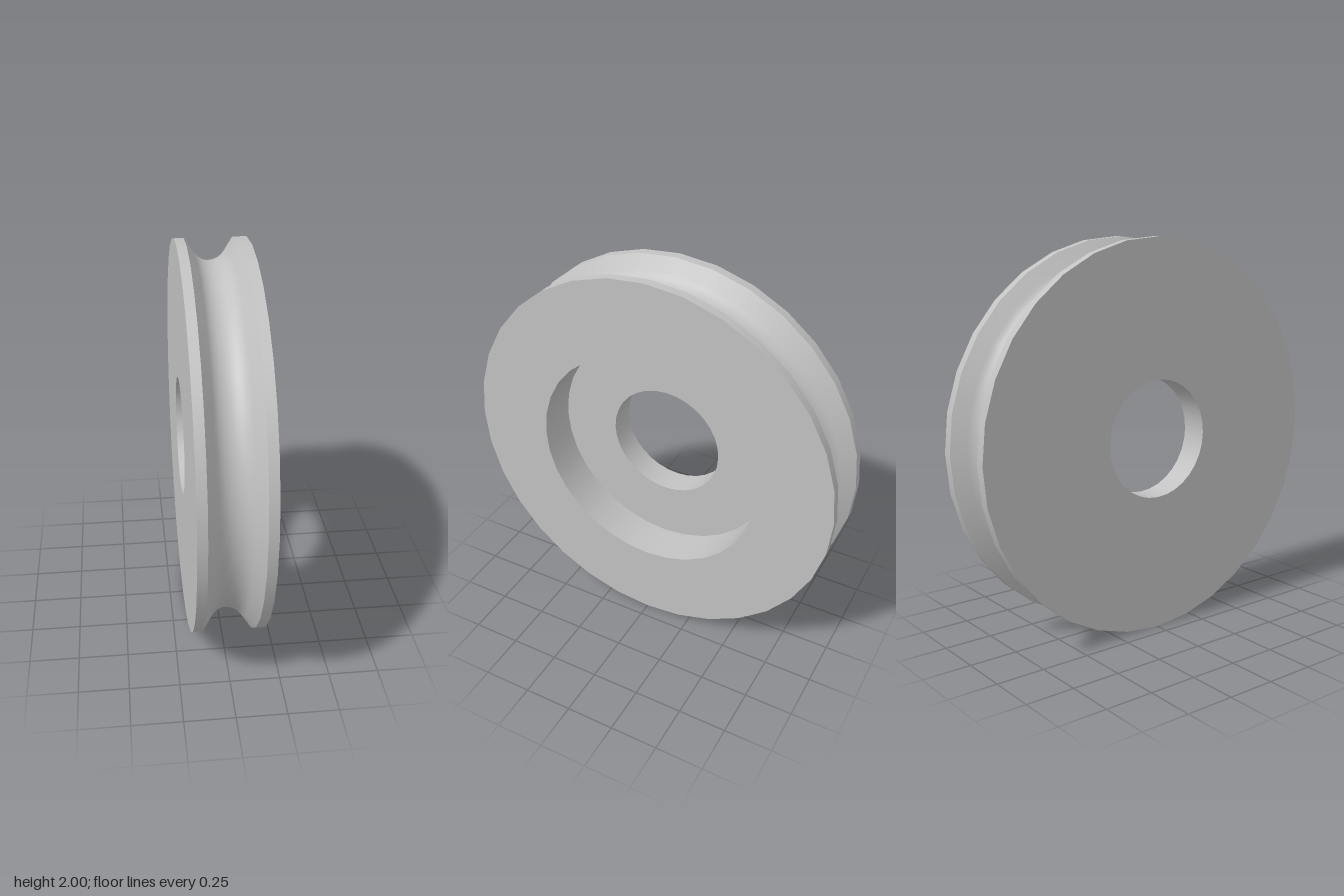
import * as THREE from 'three';

const SEGMENTS = 32;
const HALF = 0.178;    // half thickness
const LIP = 0.13;      // inner edge of each flange
const OUTER = 1;
const RECESS = 0.6;    // recess radius
const BORE = 0.302;    // centre hole radius
const FLOOR = -0.036;  // recess floor along the axle

// Groove: straight flanks running tangentially into a round bottom
function grooveProfile() {
  const points = [[OUTER, -LIP]];
  const radius = 0.101, bottom = 0.887, sweep = 1.0, steps = 12;
  for (let i = 0; i <= steps; i++) {
    const a = -sweep + (2 * sweep * i) / steps;
    points.push([bottom + radius * (1 - Math.cos(a)), radius * Math.sin(a)]);
  }
  points.push([OUTER, LIP]);
  return points;
}

export function createModel() {
  const model = new THREE.Group();
  model.name = 'pulleyWheel';
  const metal = new THREE.MeshStandardMaterial({ color: 0xc2c2c2 });
  metal.name = 'grey metal';

  // Each section is turned separately so edges between them stay sharp.
  // Profile points are [radius, position along the axle].
  const sections = {
    rightFlangeRim: [[OUTER, -HALF], [OUTER, -LIP]],
    ropeGroove: grooveProfile(),
    leftFlangeRim: [[OUTER, LIP], [OUTER, HALF]],
    leftFace: [[OUTER, HALF], [RECESS, HALF]],
    recessWall: [[RECESS, HALF], [RECESS, FLOOR]],
    recessFloor: [[RECESS, FLOOR], [BORE, FLOOR]],
    axleBore: [[BORE, FLOOR], [BORE, -HALF]],
    rightFace: [[BORE, -HALF], [OUTER, -HALF]],
  };

  for (const [name, profile] of Object.entries(sections)) {
    const points = profile.map(([r, x]) => new THREE.Vector2(r, x));
    const geometry = new THREE.LatheGeometry(points, SEGMENTS);
    geometry.rotateZ(-Math.PI / 2); // axle along x
    const mesh = new THREE.Mesh(geometry, metal);
    mesh.name = name;
    mesh.position.y = OUTER;
    model.add(mesh);
  }
  return model;
}
